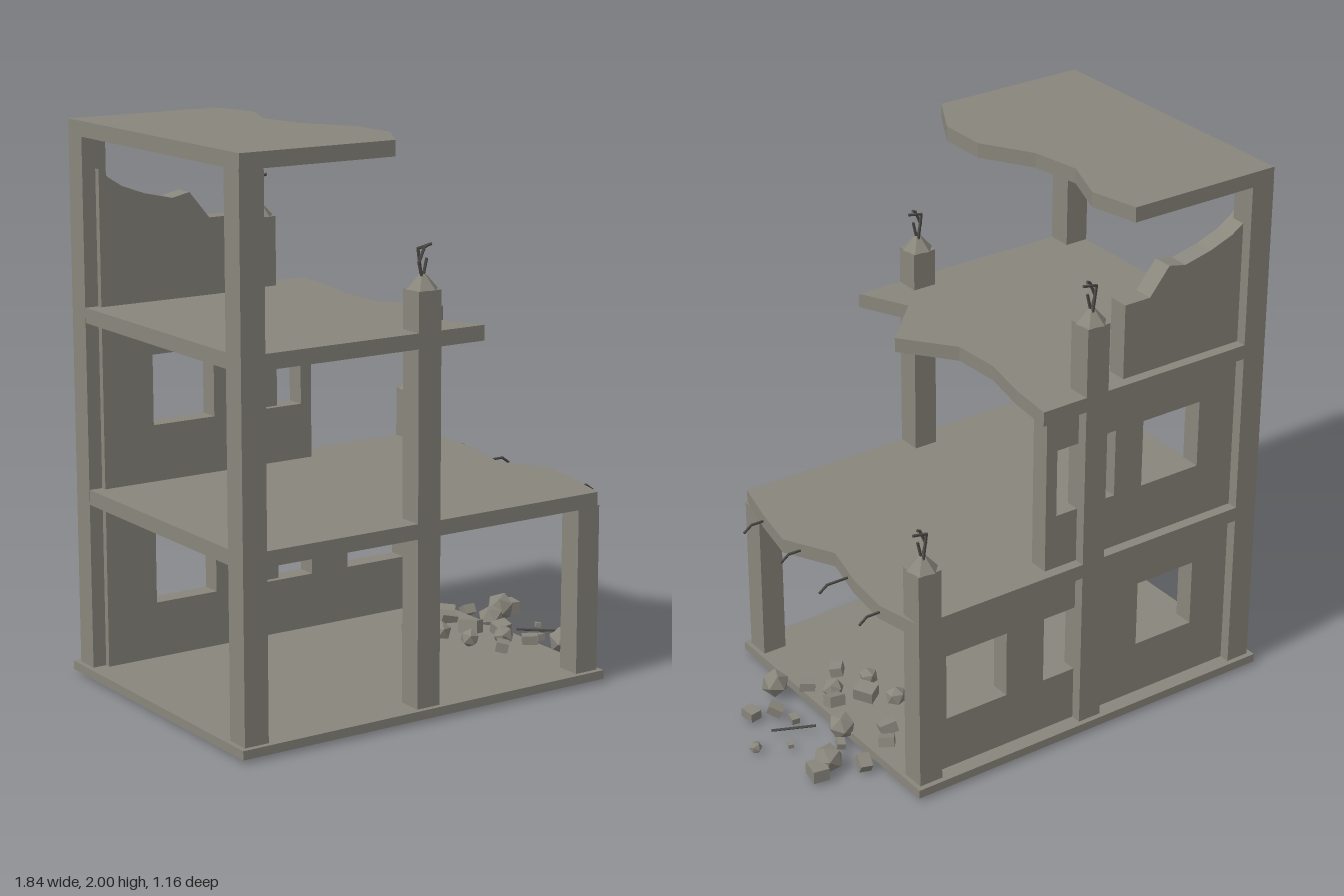
import * as THREE from 'three';

export function createModel() {
  const root = new THREE.Group();
  root.name = 'ruinedBuilding';
  const concrete = new THREE.MeshStandardMaterial({ color: 0x89867c, flatShading: true });
  concrete.name = 'concrete';
  const steel = new THREE.MeshStandardMaterial({ color: 0x4c4a46, flatShading: true });
  steel.name = 'rebar steel';

  const add = (name, geo, mat = concrete, parent = root) => {
    const m = new THREE.Mesh(geo, mat);
    m.name = name;
    parent.add(m);
    return m;
  };
  // Box given by its minimum and maximum corners
  const block = (name, x0, x1, y0, y1, z0, z1) => {
    const m = add(name, new THREE.BoxGeometry(x1 - x0, y1 - y0, z1 - z0));
    m.position.set((x0 + x1) / 2, (y0 + y1) / 2, (z0 + z1) / 2);
    return m;
  };
  // Thin straight bar between two points
  const bar = (name, a, b, r = 0.005, parent = root) => {
    const p = new THREE.Vector3(...a), q = new THREE.Vector3(...b);
    const d = q.clone().sub(p);
    const m = add(name, new THREE.CylinderGeometry(r, r, d.length() + r, 5), steel, parent);
    m.position.copy(p).add(q).multiplyScalar(0.5);
    m.quaternion.setFromUnitVectors(new THREE.Vector3(0, 1, 0), d.normalize());
  };

  block('foundation', -0.92, 0.585, 0.013, 0.045, -0.58, 0.58);

  // Floor slabs with a broken right edge
  const edgeZ = [-0.56, -0.375, -0.187, 0, 0.187, 0.375, 0.56];
  const slab = (name, y, edge) => {
    const s = new THREE.Shape();
    s.moveTo(-0.9, 0.56);
    s.lineTo(-0.9, -0.56);
    for (let i = 6; i >= 0; i--) s.lineTo(edge[i], -edgeZ[i]);
    const g = new THREE.ExtrudeGeometry(s, { depth: 0.054, bevelEnabled: false });
    g.rotateX(-Math.PI / 2);
    add(name, g).position.y = y;
  };
  slab('firstFloorSlab', 0.645, [0.565, 0.605, 0.585, 0.54, 0.64, 0.605, 0.56]);
  slab('secondFloorSlab', 1.297, [0.06, 0.04, 0, 0.01, 0.155, -0.03, 0.06]);
  slab('roofSlab', 1.946, [-0.305, -0.265, -0.34, -0.31, -0.2, -0.2, -0.305]);

  // Columns: x centre, z centre, top
  const h = 0.046;
  const columns = [
    [-0.855, 0.514, 1.95], [-0.855, -0.514, 1.95],
    [-0.165, 0.514, 1.49], [-0.165, -0.514, 1.605],
    [0.522, 0.514, 0.65], [0.522, -0.514, 0.885],
  ];
  for (const [x, z, top] of columns) block('column', x - h, x + h, 0.04, top, z - h, z + h);

  // Broken column heads with bent bars
  for (const [x, z, top] of [columns[2], columns[3], columns[5]]) {
    const head = new THREE.Group();
    head.name = 'brokenColumnHead';
    head.position.set(x, top, z);
    root.add(head);
    const cap = add('crumbledCap', new THREE.CylinderGeometry(0.012, 0.056, 0.05, 6), concrete, head);
    cap.position.y = 0.025;
    cap.rotation.y = 0.3;
    const bent = [
      [[-0.005, 0.03, 0.008], [-0.02, 0.09, 0.008], [0.002, 0.14, 0.008], [0.012, 0.145, 0.008]],
      [[0.005, 0.03, -0.012], [-0.01, 0.135, -0.012], [0.042, 0.145, -0.012]],
      [[0, 0.03, 0], [0.014, 0.1, 0.004]],
    ];
    for (const path of bent)
      for (let i = 1; i < path.length; i++) bar('columnRebar', path[i - 1], path[i], 0.0055, head);
  }

  // Rear walls: outline with window holes
  const wall = (name, outline, windows, y0, y1) => {
    const s = new THREE.Shape(outline.map(p => new THREE.Vector2(...p)));
    for (const [a, b] of windows) {
      s.holes.push(new THREE.Path([[a, y0], [a, y1], [b, y1], [b, y0]].map(p => new THREE.Vector2(...p))));
    }
    add(name, new THREE.ExtrudeGeometry(s, { depth: 0.075, bevelEnabled: false })).position.z = -0.52;
  };
  const rect = (x0, x1, y0, y1) => [[x0, y0], [x1, y0], [x1, y1], [x0, y1]];
  wall('groundFloorWall', rect(-0.85, 0.52, 0.04, 0.65),
    [[-0.65, -0.4], [-0.24, 0.015], [0.175, 0.43]], 0.25, 0.505);
  wall('firstFloorWall', rect(-0.85, 0.015, 0.695, 1.3), [[-0.65, -0.4], [-0.28, -0.03]], 0.905, 1.16);
  wall('brokenUpperWall', [[-0.85, 1.345], [-0.305, 1.345], [-0.305, 1.628], [-0.41, 1.628], [-0.49, 1.725],
    [-0.56, 1.71], [-0.67, 1.735], [-0.76, 1.768], [-0.81, 1.8], [-0.85, 1.833]], [], 0, 0);

  // Bars sticking out of the first floor slab
  for (const z of [-0.375, -0.125, 0.125, 0.375]) {
    bar('slabRebar', [0.53, 0.672, z], [0.655, 0.672, z]);
    bar('slabRebar', [0.655, 0.672, z], [0.685, 0.65, z]);
  }

  // Rubble: x, z, centre height, size, kind (0 chunk, 1 block)
  let seed = 11;
  const rand = () => (seed = (seed * 16807) % 2147483647) / 2147483647;
  const rubble = [
    [0.64, -0.315, 0.035, 0.045, 1], [0.74, -0.24, 0.05, 0.055, 0], [0.8, -0.265, 0.035, 0.06, 1],
    [0.6, -0.11, 0.06, 0.052, 0], [0.64, -0.165, 0.03, 0.03, 1], [0.78, -0.055, 0.018, 0.02, 1],
    [0.895, -0.005, 0.024, 0.024, 0], [0.685, 0.075, 0.02, 0.03, 1], [0.72, 0.145, 0.035, 0.042, 1],
    [0.8, 0.18, 0.03, 0.045, 1], [0.65, 0.26, 0.06, 0.053, 0], [0.29, -0.2, 0.06, 0.04, 1],
    [0.36, 0.08, 0.075, 0.036, 0], [0.43, -0.01, 0.085, 0.06, 1], [0.42, 0.2, 0.065, 0.045, 1],
    [0.47, -0.21, 0.06, 0.05, 1], [0.5, 0.1, 0.065, 0.04, 0], [0.34, -0.07, 0.065, 0.04, 0],
    [0.52, -0.28, 0.06, 0.045, 1], [0.54, 0.03, 0.07, 0.05, 1], [0.45, -0.36, 0.06, 0.035, 1],
    [0.56, 0.18, 0.06, 0.045, 1],
  ];
  for (const [x, z, y, s, kind] of rubble) {
    const geo = kind ? new THREE.BoxGeometry(s * 1.25, s * 0.8, s) : new THREE.IcosahedronGeometry(s, 0);
    const m = add(kind ? 'rubbleBlock' : 'rubbleChunk', geo);
    m.position.set(x, y, z);
    m.rotation.set((rand() - 0.5) * 0.7, rand() * 3, (rand() - 0.5) * 0.7);
  }
  bar('looseRebar', [0.655, 0.03, -0.02], [0.79, 0.02, 0.055], 0.005);
  return root;
}
